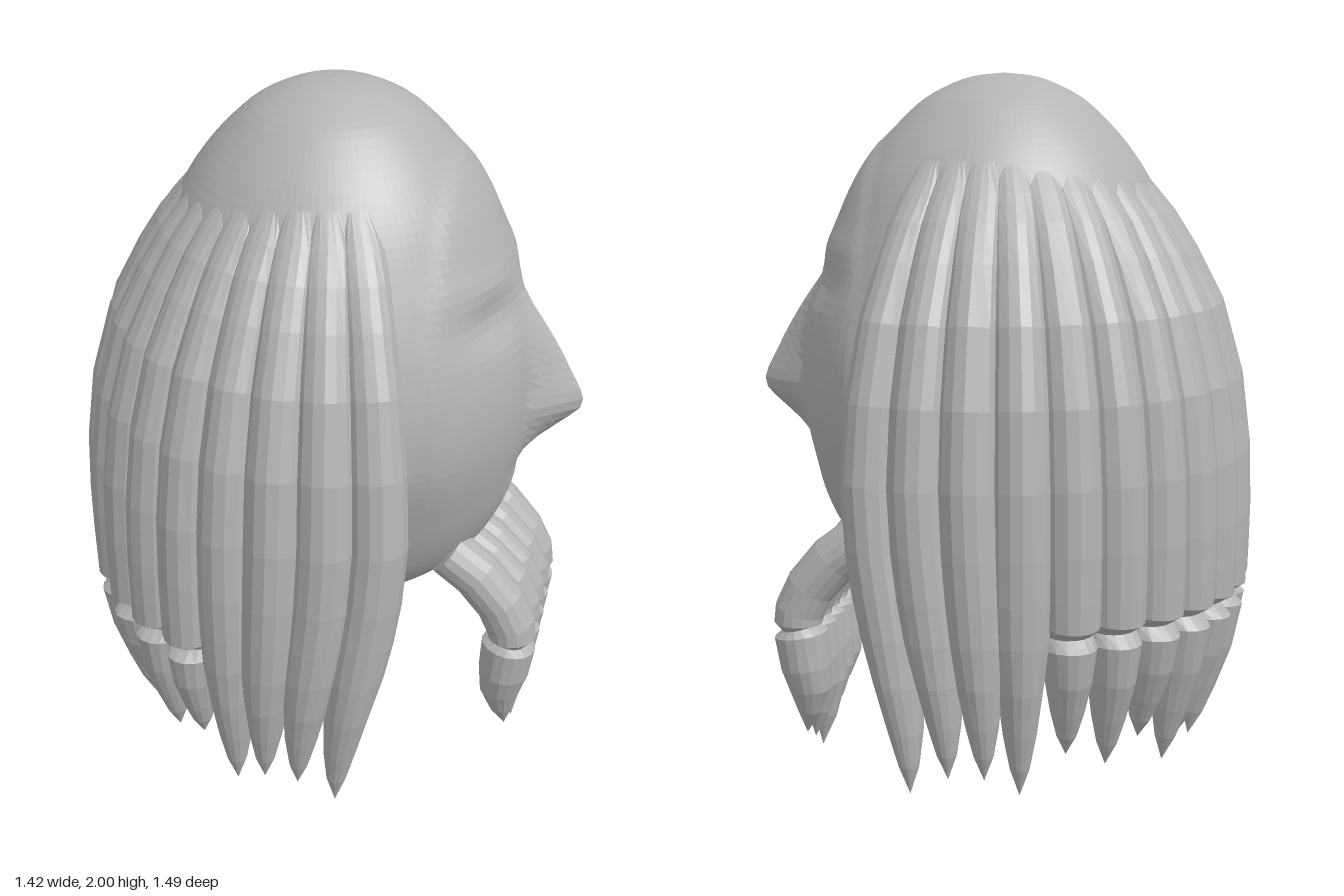
import * as THREE from 'three';

const grey = new THREE.MeshStandardMaterial({ color: 0xb4b4b4, flatShading: true });
grey.name = 'stone grey';

const lerp = THREE.MathUtils.lerp;
const smooth = THREE.MathUtils.smoothstep;
const gauss = (d, w) => Math.exp(-(d * d) / (w * w));

// Linear lookup in a list of [key, value] with rising keys
function ramp(list, k) {
  if (k <= list[0][0]) return list[0][1];
  for (let i = 1; i < list.length; i++) {
    const [k0, v0] = list[i - 1], [k1, v1] = list[i];
    if (k <= k1) return lerp(v0, v1, (k - k0) / (k1 - k0));
  }
  return list[list.length - 1][1];
}

// Tapered lock: stations are [out, y, halfDepth, halfWidth, sideways], top to bottom
function strand(stations, sides = 16) {
  const pos = [], index = [];
  const n = stations.length;
  stations.forEach(([r, y, d, w, s], i) => {
    const p = stations[Math.max(0, i - 1)], q = stations[Math.min(n - 1, i + 1)];
    const len = Math.hypot(q[0] - p[0], q[1] - p[1]);
    const nx = (p[1] - q[1]) / len, ny = (q[0] - p[0]) / len;
    for (let j = 0; j < sides; j++) {
      const t = (j / sides) * Math.PI * 2;
      const c = Math.cos(t) * d;
      pos.push(r + nx * c, y + ny * c, s + Math.sin(t) * w);
    }
  });
  for (let i = 0; i < n - 1; i++) {
    for (let j = 0; j < sides; j++) {
      const a = i * sides + j, b = i * sides + (j + 1) % sides;
      index.push(a, b, a + sides, b, b + sides, a + sides);
    }
  }
  const geo = new THREE.BufferGeometry();
  geo.setAttribute('position', new THREE.Float32BufferAttribute(pos, 3));
  geo.setIndex(index);
  geo.computeVertexNormals();
  return geo;
}

// Egg-shaped head, with the face pushed out on the +x side
function headGeometry() {
  const profile = [[0, 0.5], [0.16, 0.51], [0.3, 0.555], [0.42, 0.65], [0.5, 0.78], [0.54, 0.92],
    [0.565, 1.1], [0.56, 1.25], [0.53, 1.4], [0.487, 1.53], [0.42, 1.69], [0.35, 1.8],
    [0.268, 1.89], [0.2, 1.943], [0.1, 1.987], [0, 2]];
  const curve = new THREE.SplineCurve(profile.map(([r, y]) => new THREE.Vector2(r, y)));
  const points = curve.getSpacedPoints(72);
  points.forEach(p => { p.x = Math.max(0, p.x); });
  const geo = new THREE.LatheGeometry(points, 112);
  const noseHeight = [[0.93, 0], [0.98, 0.025], [1.03, 0.07], [1.09, 0.13], [1.13, 0.136], [1.2, 0.1], [1.3, 0.058], [1.44, 0]];
  const noseWidth = [[1, 0.1], [1.12, 0.11], [1.25, 0.08], [1.44, 0.06]];
  const pos = geo.attributes.position;
  for (let i = 0; i < pos.count; i++) {
    let x = pos.getX(i), z = pos.getZ(i);
    const y = pos.getY(i);
    // jaw narrows sideways
    z *= 1 - 0.09 * smooth(1.1 - y, 0, 0.35);
    if (x > 0.25) {
      // raised edge of the face
      x += 0.01 * smooth(x, 0.31, 0.35) * smooth(y, 0.7, 1.3);
      // nose, eye sockets and mouth hollow
      x += ramp(noseHeight, y) * Math.max(0, 1 - Math.abs(z) / ramp(noseWidth, y));
      const side = Math.abs(z) - 0.2;
      x -= 0.03 * gauss(y - 1.43, 0.06) * gauss(side, 0.13);
      x += 0.006 * gauss(y - 1.53, 0.04) * gauss(side, 0.14);
      x -= 0.01 * gauss(y - 0.93, 0.05) * gauss(z, 0.12);
    } else if (x < 0) {
      // slimmer back beneath the hair
      const k = 1 - 0.06 * smooth(-x, 0, 0.3) * smooth(1.7 - y, 0, 0.2);
      x *= k;
      z *= k;
    }
    pos.setXYZ(i, x, y, z);
  }
  geo.computeVertexNormals();
  return geo;
}

// Ring of hanging hair locks around the sides and back
function buildHair() {
  const hair = new THREE.Group();
  hair.name = 'hair';
  const count = 20, start = 1.18;
  const base = [[0.37, 1.77, 0.004, 0.03], [0.415, 1.68, 0.033, 0.058], [0.465, 1.6, 0.048, 0.064],
    [0.515, 1.5, 0.062, 0.068], [0.575, 1.35, 0.082, 0.076], [0.622, 1.15, 0.094, 0.083],
    [0.642, 0.95, 0.1, 0.086], [0.647, 0.78, 0.1, 0.086], [0.65, 0.66, 0.095, 0.084]];
  const tipHeights = [0.12, 0.17, 0.17, 0.12, 0.22, 0.17, 0.22, 0.12, 0.17, 0.12];
  const leans = [0.11, 0.08, 0.04];
  for (let i = 0; i < count; i++) {
    const angle = start + (i / (count - 1)) * (Math.PI * 2 - 2 * start);
    const k = Math.min(i, count - 1 - i);
    const back = Math.max(0, -Math.cos(angle));
    const scale = lerp(1, 0.945, back);
    const lean = (i < count / 2 ? 1 : -1) * (leans[k] ?? 0);
    const tipY = tipHeights[k], tipR = lerp(0.65, 0.55, back);
    const stations = base.map(([r, y, d, w]) => [r * scale, y, d, w]);
    // creased locks toward the back, plain ones at the sides
    const bend = 0.65 * scale;
    if (k > 3) {
      stations.push([bend, 0.59, 0.093, 0.082], [bend - 0.01, 0.56, 0.06, 0.065],
        [bend - 0.005, 0.525, 0.09, 0.074]);
    } else {
      stations.push([bend, 0.55, 0.09, 0.078]);
    }
    const y0 = stations[stations.length - 1][1];
    for (const [t, d, w] of [[0.3, 0.078, 0.062], [0.6, 0.053, 0.045], [0.82, 0.03, 0.027], [1, 0, 0]]) {
      stations.push([lerp(bend, tipR, t), lerp(y0, tipY, t), d, w]);
    }
    stations.forEach(s => { s[4] = lean * smooth(1 - s[1], 0, 0.9); });
    const lock = new THREE.Mesh(strand(stations), grey);
    lock.name = 'hairLock';
    lock.rotation.y = -angle;
    hair.add(lock);
  }
  return hair;
}

// Five beard locks that run out from the chin, crease and hang down
function buildBeard() {
  const beard = new THREE.Group();
  beard.name = 'beard';
  for (let i = -2; i <= 2; i++) {
    const a = Math.abs(i);
    const z = Math.sign(i) * [0, 0.095, 0.2][a];
    const w = [0.054, 0.06, 0.077][a];
    const tip = [0, 0.055, 0.1][a];
    const lift = [0, 0.005, 0.015][a];
    const stations = [[0.365, 0.69 + lift, 0, 0], [0.375, 0.685 + lift, 0.07, w], [0.46, 0.62 + lift, 0.072, w],
      [0.53, 0.55, 0.072, w], [0.563, 0.48, 0.072, w], [0.567, 0.445, 0.07, w], [0.565, 0.43, 0.05, w * 0.8],
      [0.56, 0.41, 0.078, w], [0.548, 0.31, 0.073, w], [0.54, 0.21 + tip * 0.3, 0.06, w * 0.85],
      [0.545, 0.1 + tip * 0.7, 0.035, w * 0.55], [0.555, tip, 0, 0]];
    // lower ends gather toward the middle
    stations.forEach(s => { s[4] = z * (1 - 0.15 * smooth(0.4 - s[1], 0, 0.35)); });
    const lock = new THREE.Mesh(strand(stations), grey);
    lock.name = 'beardLock';
    beard.add(lock);
  }
  return beard;
}

export function createModel() {
  const model = new THREE.Group();
  model.name = 'beardedHead';
  const head = new THREE.Mesh(headGeometry(), grey);
  head.name = 'head';
  model.add(head, buildHair(), buildBeard());
  return model;
}
